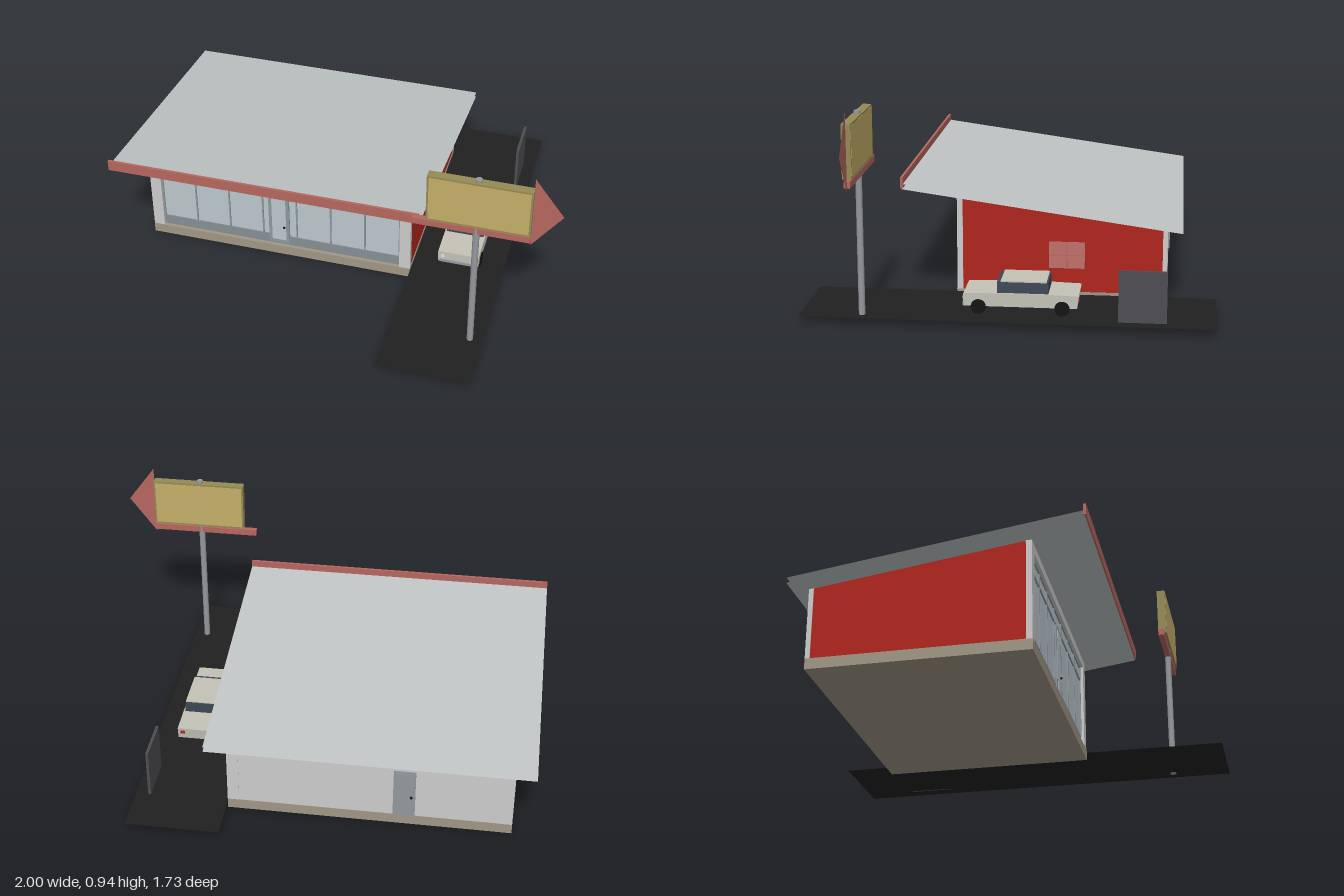
import * as THREE from 'three';

const mat = (color, extra = {}) => new THREE.MeshStandardMaterial({ color, ...extra });
const M = {
  grey: mat(0xcccccc), red: mat(0xb0261e), base: mat(0xa09684), trim: mat(0xb5675f),
  trimFlat: mat(0xb5675f, { side: THREE.DoubleSide }), roof: mat(0xbfc4c4, { side: THREE.DoubleSide }),
  glass: mat(0xbcc8cd), frame: mat(0x8d989d), kick: mat(0x868f94), steel: mat(0x95989b),
  sign: mat(0xc4ae68), signRim: mat(0x958a55), asphalt: mat(0x202020, { side: THREE.DoubleSide }),
  screen: mat(0x4e4e53), paint: mat(0xc4c2b6), dark: mat(0x3c4855), black: mat(0x141414),
  sideGlass: mat(0xc0706a), lamp: mat(0xe0dccb),
};

// Height of the sloping wall tops at depth z
const slope = z => 0.475 + (z - 0.255) * 0.137;

export function createModel() {
  const root = new THREE.Group();
  const group = (name, parent = root) => {
    const g = new THREE.Group();
    g.name = name;
    parent.add(g);
    return g;
  };
  const add = (parent, name, geo, material) => {
    const m = new THREE.Mesh(geo, material);
    m.name = name;
    parent.add(m);
    return m;
  };
  // Box from its lower and upper limits
  const box = (p, name, x0, x1, y0, y1, z0, z1, material) => {
    const geo = new THREE.BoxGeometry(x1 - x0, y1 - y0, z1 - z0);
    geo.translate((x0 + x1) / 2, (y0 + y1) / 2, (z0 + z1) / 2);
    return add(p, name, geo, material);
  };
  // Side profile of [z, y] points extruded along x
  const profile = (p, name, pts, x0, x1, material) => {
    const shape = new THREE.Shape(pts.map(([z, y]) => new THREE.Vector2(-z, y)));
    const geo = new THREE.ExtrudeGeometry(shape, { depth: x1 - x0, bevelEnabled: false });
    geo.rotateY(Math.PI / 2).translate(x0, 0, 0);
    return add(p, name, geo, material);
  };

  // Building shell: red gable ends, grey back, grey corner posts
  const shop = group('shop');
  box(shop, 'foundation', -0.915, 0.305, 0, 0.046, -0.655, 0.257, M.base);
  profile(shop, 'walls', [[0.232, 0.04], [0.232, slope(0.232)], [-0.653, slope(-0.653)], [-0.653, 0.04]],
    -0.912, 0.302, [M.red, M.grey]);
  for (const x of [-0.915, 0.255]) {
    box(shop, 'frontPost', x, x + 0.05, 0.045, 0.472, 0.23, 0.255, M.grey);
  }
  for (const x of [-0.915, 0.255]) {
    profile(shop, 'backPost', [[-0.635, 0.045], [-0.635, slope(-0.635)], [-0.655, slope(-0.655)], [-0.655, 0.045]],
      x, x + 0.05, M.grey);
  }
  box(shop, 'frontLintel', -0.865, 0.255, 0.435, 0.472, 0.23, 0.255, M.grey);

  // Glazed shop front
  const front = group('shopFront', shop);
  box(front, 'glass', -0.865, 0.255, 0.09, 0.435, 0.23, 0.237, M.glass);
  box(front, 'kickPanel', -0.865, 0.255, 0.045, 0.095, 0.23, 0.241, M.kick);
  for (let i = 0; i <= 7; i++) {
    const x = -0.862 + i * 0.1591;
    box(front, 'mullion', x - 0.003, x + 0.003, 0.095, 0.435, 0.235, 0.243, M.frame);
  }
  for (const y of [0.37, 0.432]) box(front, 'transom', -0.865, 0.255, y - 0.003, y + 0.003, 0.235, 0.243, M.frame);

  // Glazed entrance and solid back door
  box(front, 'doorFrame', -0.356, -0.26, 0.055, 0.367, 0.23, 0.246, M.frame);
  box(front, 'doorGlass', -0.341, -0.275, 0.075, 0.35, 0.24, 0.248, M.glass);
  add(front, 'doorKnob', new THREE.SphereGeometry(0.006, 10, 8), M.black).position.set(-0.283, 0.15, 0.25);
  box(shop, 'backDoorFrame', -0.502, -0.408, 0.046, 0.28, -0.658, -0.65, M.frame);
  box(shop, 'backDoor', -0.494, -0.416, 0.046, 0.272, -0.661, -0.65, M.steel);
  add(shop, 'backDoorKnob', new THREE.SphereGeometry(0.006, 10, 8), M.black).position.set(-0.485, 0.15, -0.664);

  // Window in the right gable
  box(shop, 'sideWindow', 0.3, 0.305, 0.152, 0.27, -0.3, -0.145, M.sideGlass);
  box(shop, 'windowBar', 0.3, 0.307, 0.152, 0.27, -0.2245, -0.2205, M.trim);
  box(shop, 'windowBar', 0.3, 0.307, 0.209, 0.213, -0.3, -0.145, M.trim);

  // Roof of two thin sheets with a fascia along the front
  const roof = group('roof');
  const angle = Math.atan(0.137);
  for (const [name, lift] of [['roofSoffit', 0.002], ['roofSheet', 0.025]]) {
    const geo = new THREE.PlaneGeometry(1.39, 1.2 / Math.cos(angle));
    geo.rotateX(-Math.PI / 2 - 0).rotateX(-angle);
    geo.translate(-0.305, slope(-0.12) + lift, -0.12);
    // Rising towards the front
    add(roof, name, geo, M.roof);
  }
  box(roof, 'fascia', -1, 0.39, 0.512, 0.56, 0.474, 0.485, M.trim);

  // Driveway and screen wall
  const road = new THREE.PlaneGeometry(0.405, 1.73).rotateX(-Math.PI / 2).translate(0.5075, 0.034, 0);
  add(root, 'driveway', road, M.asphalt);
  box(root, 'screenWall', 0.643, 0.655, 0.034, 0.255, -0.66, -0.46, M.screen);

  // Roadside sign on a pole with an arrow head
  const sign = group('sign');
  const pole = new THREE.CylinderGeometry(0.014, 0.014, 0.868, 16);
  add(sign, 'pole', pole, M.steel).position.set(0.655, 0.466, 0.607);
  box(sign, 'signBox', 0.448, 0.876, 0.665, 0.887, 0.588, 0.626, M.signRim);
  box(sign, 'signFace', 0.456, 0.868, 0.673, 0.879, 0.587, 0.627, M.sign);
  box(sign, 'signBar', 0.39, 0.876, 0.628, 0.656, 0.594, 0.62, M.trim);
  const arrow = new THREE.Shape([[0.876, 0.61], [1, 0.778], [0.876, 0.945]].map(p => new THREE.Vector2(...p)));
  add(sign, 'arrowHead', new THREE.ShapeGeometry(arrow).translate(0, 0, 0.607), M.trimFlat);

  // Parked car
  const car = group('car');
  profile(car, 'carBody', [[0.188, 0.068], [0.188, 0.122], [0.04, 0.126], [-0.17, 0.126], [-0.295, 0.122],
    [-0.288, 0.068]], 0.418, 0.602, M.paint);
  const cabin = new THREE.BoxGeometry(0.17, 0.048, 0.215);
  const pos = cabin.attributes.position;
  for (let i = 0; i < pos.count; i++) {
    if (pos.getY(i) > 0) pos.setX(i, pos.getX(i) * 0.95);
  }
  cabin.computeVertexNormals();
  add(car, 'cabinWindows', cabin, M.dark).position.set(0.51, 0.149, -0.06);
  box(car, 'carRoof', 0.429, 0.591, 0.172, 0.177, -0.16, 0.032, M.paint);
  box(car, 'frontBumper', 0.425, 0.595, 0.068, 0.08, 0.185, 0.193, M.steel);
  for (const s of [-1, 1]) {
    const x = 0.51 + s * 0.083;
    for (const z of [0.125, -0.225]) {
      const wheel = new THREE.CylinderGeometry(0.032, 0.032, 0.024, 20).rotateZ(Math.PI / 2);
      add(car, 'wheel', wheel, M.black).position.set(x, 0.066, z);
    }
    const lamp = new THREE.CylinderGeometry(0.01, 0.01, 0.006, 14).rotateX(Math.PI / 2);
    add(car, 'headlight', lamp, M.lamp).position.set(0.51 + s * 0.07, 0.1, 0.189);
    box(car, 'tailLight', 0.5 + s * 0.07, 0.52 + s * 0.07, 0.095, 0.11, -0.296, -0.285, M.red);
  }
  return root;
}
